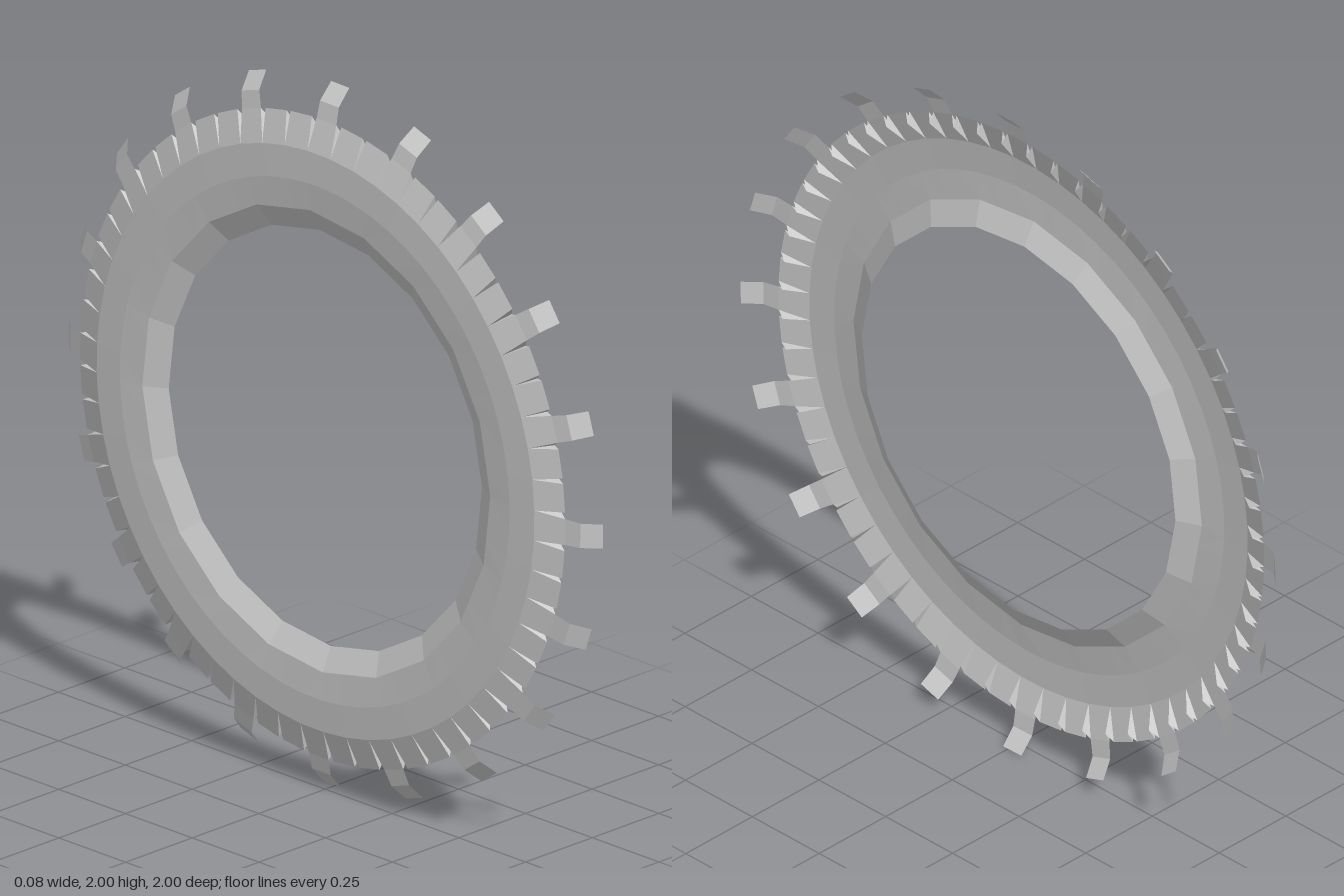
import * as THREE from 'three';

const TEETH = 60;                       // every third tooth is a long one
const PITCH = (Math.PI * 2) / TEETH;
const TURN = 0.016;                     // small turn of the whole ring

const material = new THREE.MeshStandardMaterial({
  color: 0xcccccc, flatShading: true, side: THREE.DoubleSide,
});

// Point at angle a (from the top towards +z), radius r, sideways offset t, depth x
function point(a, r, t, x) {
  const c = Math.cos(a), s = Math.sin(a);
  return [x, 1 + r * c - t * s, r * s + t * c];
}

function sheet(name, triangles) {
  const geometry = new THREE.BufferGeometry();
  geometry.setAttribute('position', new THREE.Float32BufferAttribute(triangles.flat(), 3));
  geometry.computeVertexNormals();
  const mesh = new THREE.Mesh(geometry, material);
  mesh.name = name;
  return mesh;
}

const quad = (a, b, c, d) => [a, b, c, a, c, d];

// Dished ring: [radius, depth, sides of its outline]
function ringBody() {
  const profile = [[0.587, 0, 20], [0.652, -0.034, 20], [0.73, -0.04, 60], [0.82, -0.037, 60]];
  const at = (i, [r, x, sides]) => {
    const step = TEETH / sides;
    const k = ((i + 1) % step) / step - 0.5;
    const flat = step > 1 ? Math.cos(Math.PI / sides) / Math.cos((k * 2 * Math.PI) / sides) : 1;
    return point(TURN + (i + 0.5) * PITCH, r * flat, 0, x);
  };
  const tris = [];
  for (let i = 0; i < TEETH; i++) {
    for (let j = 0; j + 1 < profile.length; j++) {
      tris.push(...quad(at(i, profile[j]), at(i, profile[j + 1]),
        at(i + 1, profile[j + 1]), at(i + 1, profile[j])));
    }
  }
  return sheet('ringBody', tris);
}

// Tooth outlines: [radius, half width, depth]
const ROOT = [0.82, 0.82 * Math.sin(PITCH / 2), -0.037];
const SHORT = [ROOT, [0.908, 0.04, -0.01]];
const LONG = [ROOT, [0.908, 0.037, -0.01], [0.955, 0.035, 0], [1, 0.034, 0.04]];
const outline = (i) => (i % 3 === 0 ? LONG : SHORT);

function tooth(i) {
  const a = TURN + i * PITCH, rows = outline(i), tris = [];
  const at = ([r, w, x], side) => {
    const rr = r === ROOT[0] ? r * Math.cos(PITCH / 2) : r;
    return point(a, rr, side * w, x);
  };
  for (let j = 0; j + 1 < rows.length; j++) {
    tris.push(...quad(at(rows[j], -1), at(rows[j + 1], -1), at(rows[j + 1], 1), at(rows[j], 1)));
  }
  return sheet(i % 3 === 0 ? 'longTooth' : 'shortTooth', tris);
}

// Narrow folded web between neighbouring teeth
function webs() {
  const tris = [];
  for (let i = 0; i < TEETH; i++) {
    const a = TURN + i * PITCH, mid = a + PITCH / 2;
    const apex = point(mid, 0.82, 0, -0.037);
    const fold = point(mid, 0.88, 0, 0.004);
    const [r1, w1, x1] = outline(i)[1];
    const [r2, w2, x2] = outline((i + 1) % TEETH)[1];
    tris.push(apex, point(a, r1, w1, x1), fold);
    tris.push(apex, fold, point(a + PITCH, r2, -w2, x2));
  }
  return sheet('toothWebs', tris);
}

export function createModel() {
  const model = new THREE.Group();
  model.name = 'toothedRing';
  model.add(ringBody(), webs());
  for (let i = 0; i < TEETH; i++) model.add(tooth(i));
  return model;
}
